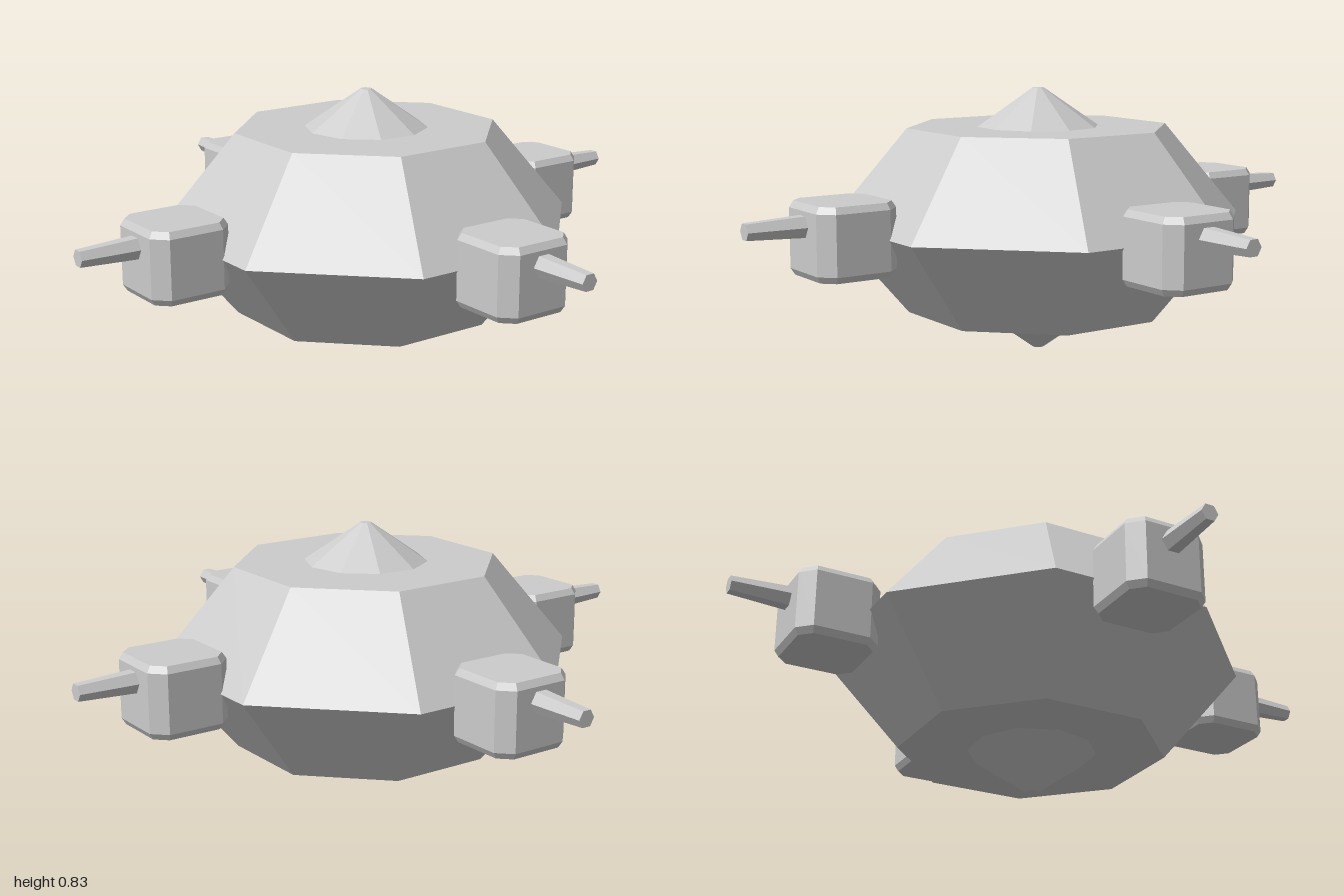
import * as THREE from 'three';

const hull = new THREE.MeshStandardMaterial({ color: 0xcccccc, flatShading: true });
hull.name = 'hull grey';

const MID = 0.42;

function part(name, geometry, y = 0, z = 0) {
  const mesh = new THREE.Mesh(geometry, hull);
  mesh.name = name;
  mesh.position.set(0, y, z);
  return mesh;
}

// Square block with cut corners and a small bevel on top and bottom
function podGeometry() {
  const bevel = 0.012, rise = 0.02, height = 0.22;
  const h = 0.129 - bevel, c = h - 0.035;
  const outline = [[h, -c], [h, c], [c, h], [-c, h], [-h, c], [-h, -c], [-c, -h], [c, -h]];
  const shape = new THREE.Shape(outline.map(([x, y]) => new THREE.Vector2(x, y)));
  const geometry = new THREE.ExtrudeGeometry(shape, {
    depth: height - 2 * rise, bevelEnabled: true, bevelSize: bevel, bevelThickness: rise, bevelSegments: 1,
  });
  geometry.rotateX(-Math.PI / 2);
  geometry.translate(0, rise - height / 2, 0);
  return geometry;
}

export function createModel() {
  const model = new THREE.Group();
  model.name = 'station';

  // Eight-sided double-tapered body
  const profile = [[0, 0.13], [0.415, 0.13], [0.66, MID], [0.415, 0.71], [0, 0.71]];
  model.add(part('body', new THREE.LatheGeometry(
    profile.map(([r, y]) => new THREE.Vector2(r, y)), 8, Math.PI / 8)));

  // Ten-sided caps above and below
  const turn = -THREE.MathUtils.degToRad(5);
  model.add(part('topCap', new THREE.CylinderGeometry(0.018, 0.2, 0.125, 10, 1, false, turn), 0.7675));
  model.add(part('bottomCap', new THREE.CylinderGeometry(0.2, 0.018, 0.13, 10, 1, false, turn), 0.065));

  // Four pods, each with a tapered six-sided barrel
  const podShape = podGeometry();
  const barrelShape = new THREE.CylinderGeometry(0.027, 0.037, 0.2, 6, 1, false, Math.PI / 6);
  barrelShape.rotateX(Math.PI / 2);
  ['front', 'left', 'back', 'right'].forEach((side, i) => {
    const turret = new THREE.Group();
    turret.name = side + 'Turret';
    turret.add(part('pod', podShape, MID, 0.691), part('barrel', barrelShape, 0.465, 0.9));
    turret.rotation.y = i * Math.PI / 2;
    model.add(turret);
  });

  return model;
}
